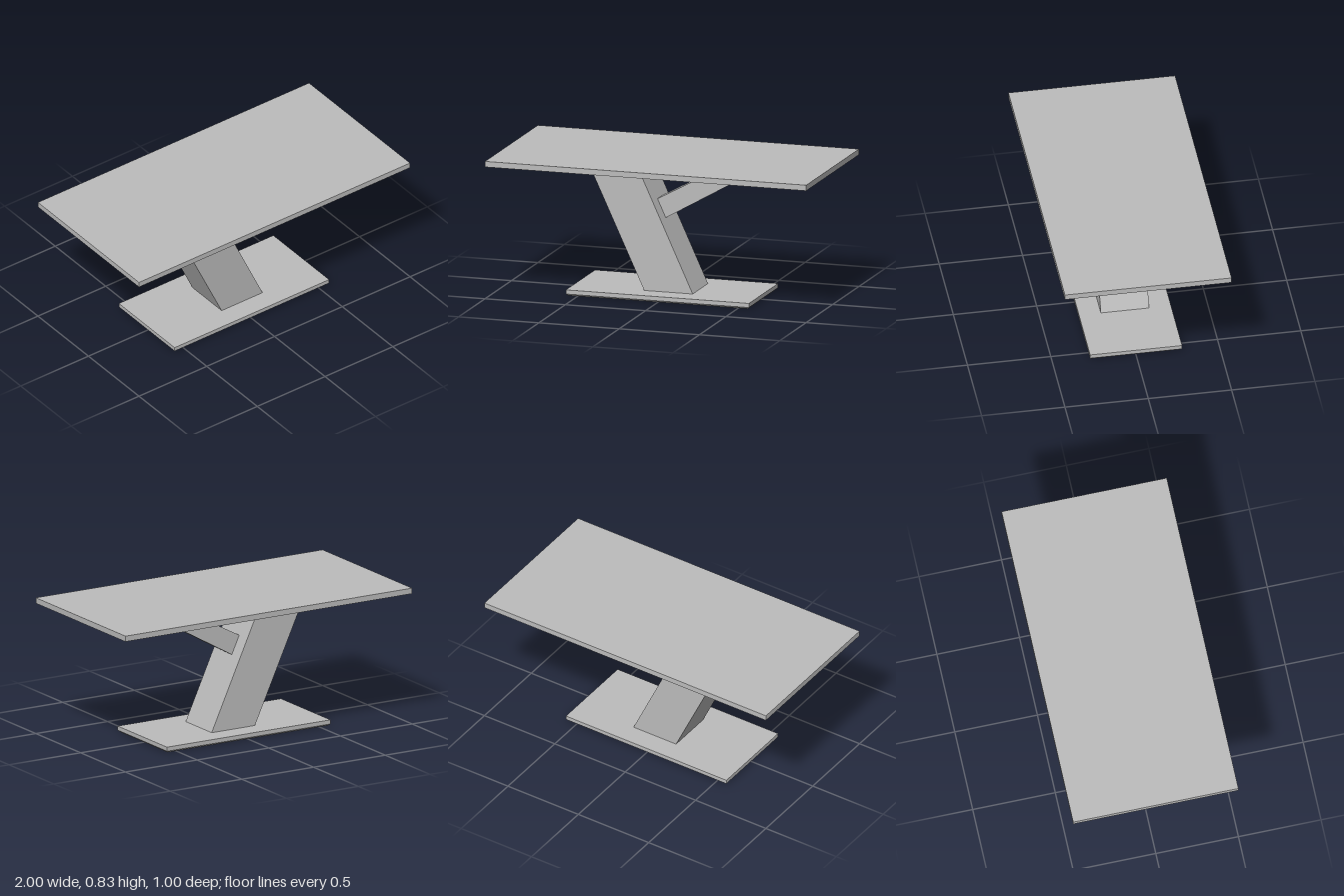
import * as THREE from 'three';

export function createModel() {
  const group = new THREE.Group();
  const grey = new THREE.MeshStandardMaterial({ color: 0xbcbcbc });
  grey.name = 'grey';

  const add = (name, geometry, y = 0) => {
    const mesh = new THREE.Mesh(geometry, grey);
    mesh.name = name;
    mesh.position.y = y;
    group.add(mesh);
  };

  // Side outline in x and y, extruded evenly about z = 0
  const slab = (points, depth) => {
    const shape = new THREE.Shape(points.map(([x, y]) => new THREE.Vector2(x, y)));
    return new THREE.ExtrudeGeometry(shape, { depth, bevelEnabled: false }).translate(0, 0, -depth / 2);
  };

  // Table top
  add('tableTop', new THREE.BoxGeometry(2, 0.034, 1), 0.817);

  // Leaning column and the brace that meets its right face
  add('column', slab([[-0.125, 0.035], [0.177, 0.035], [-0.175, 0.8], [-0.48, 0.8]], 0.29));
  add('brace', slab([[-0.021, 0.465], [0.563, 0.8], [0.337, 0.8], [-0.073, 0.577]], 0.108));

  // Base plate with a chamfered lower rim
  const width = 1.14, depth = 0.552, inset = 0.012;
  add('basePlate', new THREE.BoxGeometry(width, 0.025, depth), 0.0235);
  const rim = new THREE.BoxGeometry(width, 0.011, depth);
  const p = rim.attributes.position;
  for (let i = 0; i < p.count; i++) {
    if (p.getY(i) > 0) continue;
    p.setX(i, p.getX(i) - Math.sign(p.getX(i)) * inset);
    p.setZ(i, p.getZ(i) - Math.sign(p.getZ(i)) * inset);
  }
  rim.computeVertexNormals();
  add('baseRim', rim, 0.0055);

  return group;
}
